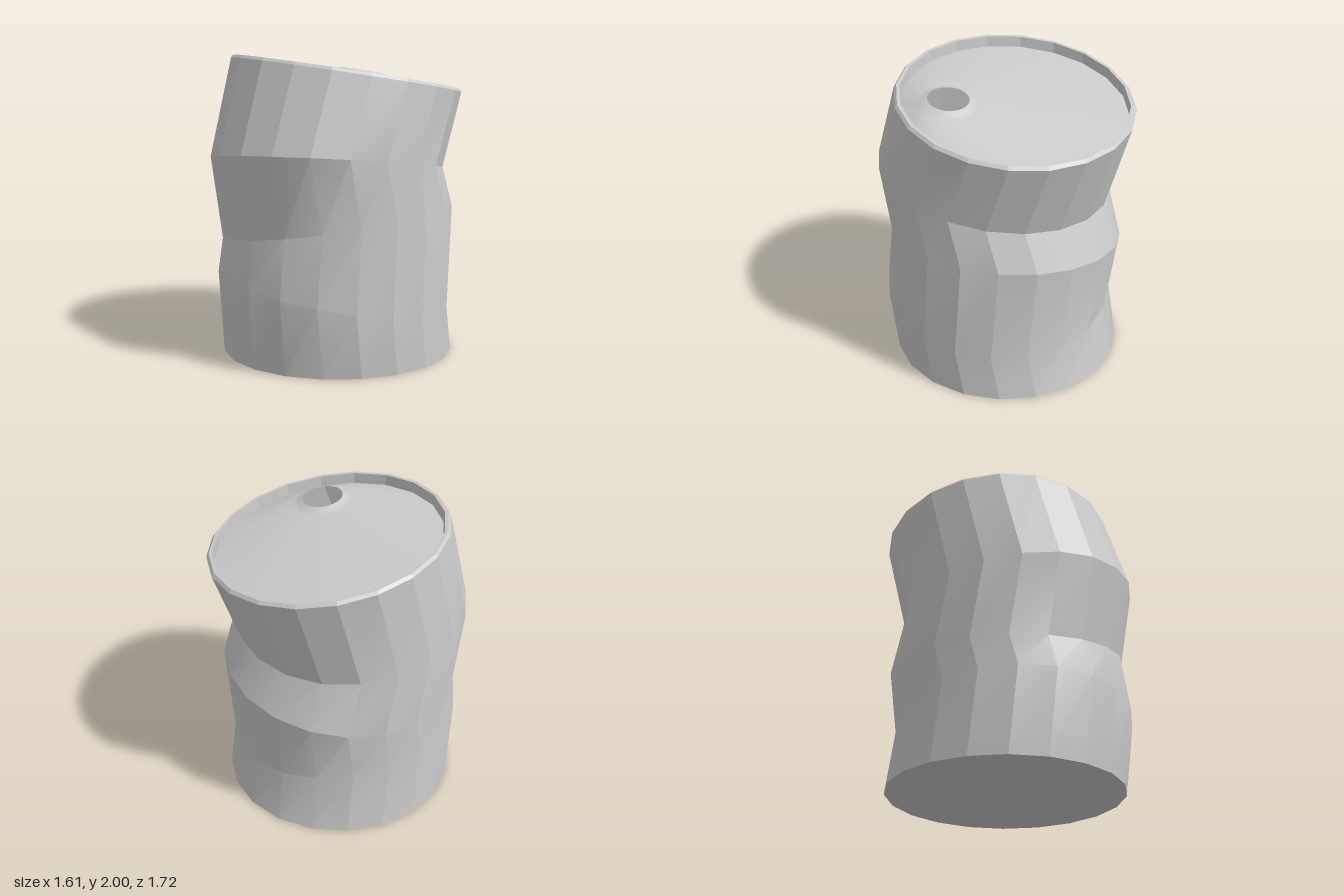
import * as THREE from 'three';
import { toCreasedNormals } from 'three/addons/utils/BufferGeometryUtils.js';

const SIDES = 20;
const material = new THREE.MeshStandardMaterial({ color: 0xcccccc, side: THREE.DoubleSide });

// Ring: centre x, y, z, radius, and how much it climbs along x and z.
// With facets set, a finer ring still follows the polygon outline.
function ringPoints([cx, cy, cz, r, sx, sz], n, facets = 0) {
  const points = [];
  for (let j = 0; j < n; j++) {
    const a = (j / n) * Math.PI * 2;
    let radius = r;
    if (facets) {
      const step = (Math.PI * 2) / facets;
      radius *= Math.cos(step / 2) / Math.cos((a % step) - step / 2);
    }
    const x = radius * Math.sin(a), z = radius * Math.cos(a);
    points.push(new THREE.Vector3(cx + x, cy + sx * x + sz * z, cz + z));
  }
  return points;
}

// Skin a list of closed rings, ordered upward or inward
function loft(rings) {
  const n = rings[0].length, index = [];
  for (let i = 0; i < rings.length - 1; i++) {
    for (let j = 0; j < n; j++) {
      const a = i * n + j, b = i * n + ((j + 1) % n);
      index.push(a, b, b + n, a, b + n, a + n);
    }
  }
  const geometry = new THREE.BufferGeometry().setFromPoints(rings.flat());
  geometry.setIndex(index);
  geometry.computeVertexNormals();
  return geometry;
}

export function createModel() {
  const group = new THREE.Group();
  const add = (name, geometry) => {
    const mesh = new THREE.Mesh(geometry, material);
    mesh.name = name;
    group.add(mesh);
    return mesh;
  };

  // Crumpled wall: each ring is shifted and tipped differently
  const wall = [
    [0, 0, -0.01, 0.78, 0, 0],
    [-0.005, 0.435, 0.052, 0.777, -0.15, 0.084],
    [0, 0.88, -0.005, 0.778, 0.15, 0],
    [-0.032, 1.285, 0.09, 0.773, 0.02, 0.15],
    [0.033, 1.86, -0.082, 0.773, -0.11, 0.117],
  ].map((ring) => ringPoints(ring, SIDES));
  add('wall', toCreasedNormals(loft(wall), THREE.MathUtils.degToRad(17)));

  // Rings lying on the tipped top, given by offset, height above it and radius
  const topRing = (dx, dz, h, r, n, facets) =>
    ringPoints([0.033 + dx, 1.86 - 0.11 * dx + 0.117 * dz + h, -0.082 + dz, r, -0.11, 0.117], n, facets);

  // Bevelled rim with its inner wall
  const rim = [[0, 0.773], [0.02, 0.757], [0.02, 0.735], [-0.05, 0.73]];
  add('rim', toCreasedNormals(loft(rim.map(([h, r]) => topRing(0, 0, h, r, SIDES))), 0.2));

  // Recessed lid rising gently to an open, raised pouring hole
  const hx = 0.262, hz = 0.347;
  add('lid', loft([
    topRing(0, 0, -0.05, 0.73, 40, SIDES),
    topRing(hx, hz, 0.005, 0.195, 40),
    topRing(hx, hz, 0.025, 0.16, 40),
    topRing(hx, hz, 0.035, 0.133, 40),
  ]));

  // Flat base
  const base = add('base', new THREE.CircleGeometry(0.78, SIDES).rotateX(Math.PI / 2));
  base.position.z = -0.01;

  return group;
}
